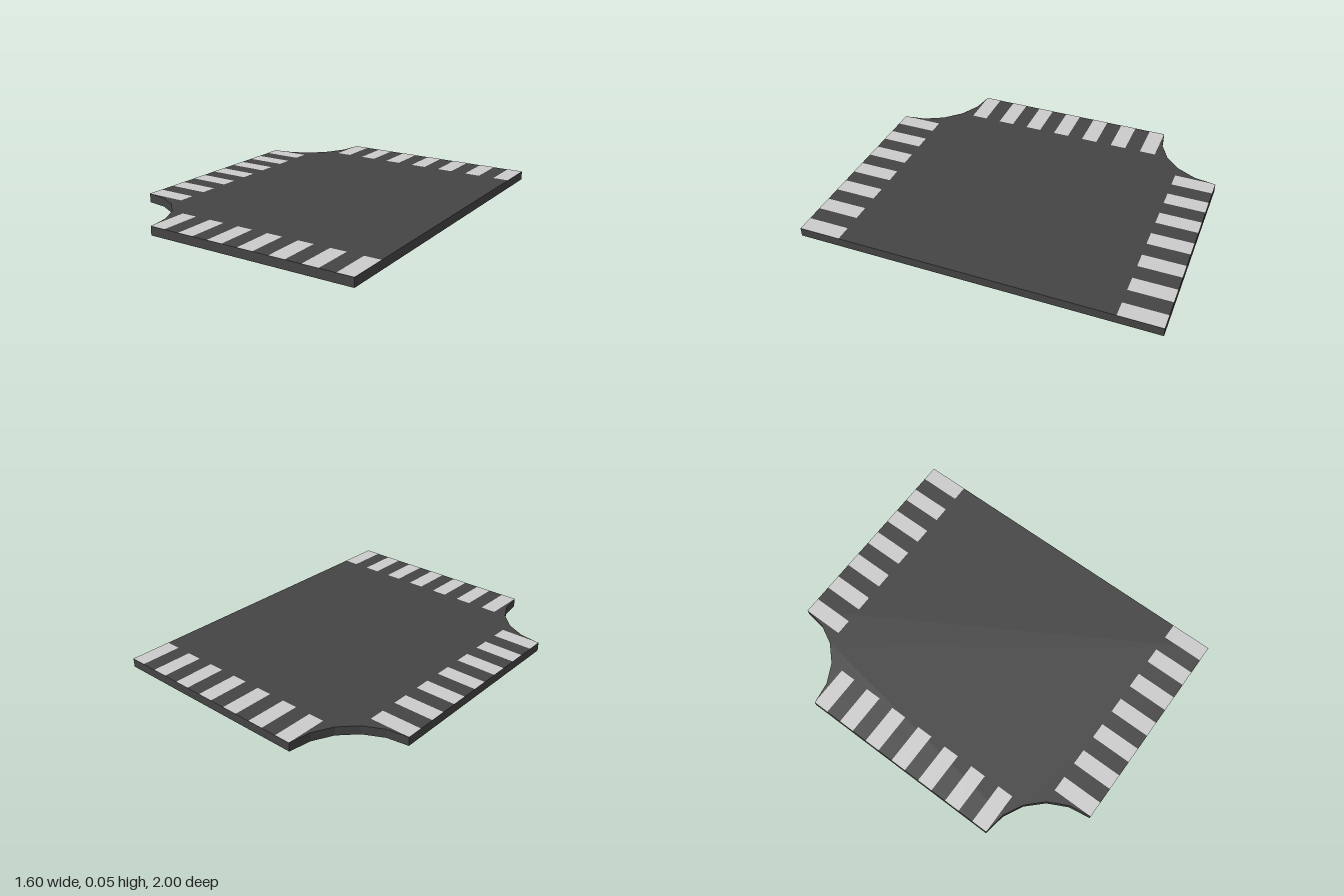
import * as THREE from 'three';

const THICK = 0.05, CUT = 0.4, PAD_LENGTH = 0.236, PADS = 7;
const PITCH = 1.2 / (2 * PADS - 1); // equal pads and gaps along a 1.2 long edge

export function createModel() {
  const model = new THREE.Group();
  model.name = 'contactPlate';
  const dark = new THREE.MeshStandardMaterial({ color: 0x444444, flatShading: true });
  const light = new THREE.MeshStandardMaterial({ color: 0xcccccc });

  // Plate outline with two faceted concave corners on its right side
  const points = [new THREE.Vector2(0.8, -1), new THREE.Vector2(0.8, 1)];
  const addCut = (cy, from, to) => {
    for (let i = 0; i <= 5; i++) {
      const a = from + (to - from) * i / 5;
      points.push(new THREE.Vector2(-0.8 + CUT * Math.cos(a), cy + CUT * Math.sin(a)));
    }
  };
  addCut(1, 0, -Math.PI / 2);
  addCut(-1, Math.PI / 2, 0);
  const plateGeometry = new THREE.ExtrudeGeometry(new THREE.Shape(points), { depth: THICK, bevelEnabled: false });
  plateGeometry.rotateX(-Math.PI / 2);
  const plate = new THREE.Mesh(plateGeometry, dark);
  plate.name = 'plate';
  model.add(plate);

  // Flat contact pads lying on the top face
  const addPad = (name, width, depth, x, z) => {
    const pad = new THREE.Mesh(new THREE.PlaneGeometry(width, depth).rotateX(-Math.PI / 2), light);
    pad.name = name;
    pad.position.set(x, THICK + 0.001, z);
    model.add(pad);
  };
  for (let i = 0; i < PADS; i++) {
    const along = PITCH * (2 * i + 0.5);
    addPad('frontPad', PITCH, PAD_LENGTH, -0.4 + along, 1 - PAD_LENGTH / 2);
    addPad('backPad', PITCH, PAD_LENGTH, -0.4 + along, -1 + PAD_LENGTH / 2);
    addPad('rightPad', PAD_LENGTH, PITCH, -0.8 + PAD_LENGTH / 2, -0.6 + along);
  }
  return model;
}
